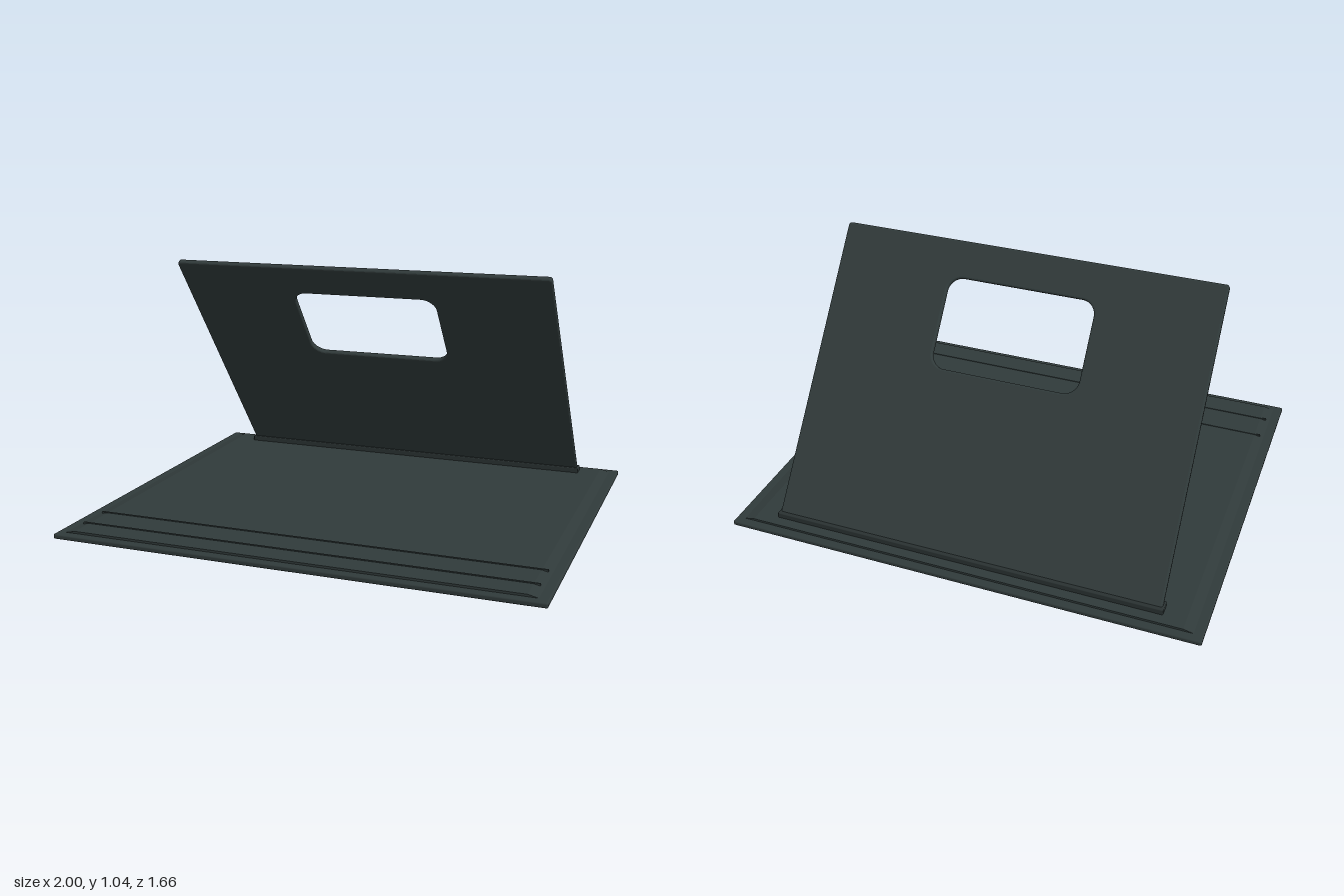
import * as THREE from 'three';
import { RoundedBoxGeometry } from 'three/addons/geometries/RoundedBoxGeometry.js';

const shell = new THREE.MeshStandardMaterial({ name: 'dark slate', color: 0x303a3a });
const trim = new THREE.MeshStandardMaterial({ name: 'deep slate', color: 0x293131 });

function add(parent, name, geometry, material, x = 0, y = 0, z = 0) {
  const mesh = new THREE.Mesh(geometry, material);
  mesh.name = name;
  mesh.position.set(x, y, z);
  parent.add(mesh);
  return mesh;
}

// Rounded rectangle traced into a Shape or Path
function roundedRect(path, x0, y0, x1, y1, r) {
  path.moveTo(x0 + r, y0);
  path.lineTo(x1 - r, y0);
  path.absarc(x1 - r, y0 + r, r, -Math.PI / 2, 0);
  path.lineTo(x1, y1 - r);
  path.absarc(x1 - r, y1 - r, r, 0, Math.PI / 2);
  path.lineTo(x0 + r, y1);
  path.absarc(x0 + r, y1 - r, r, Math.PI / 2, Math.PI);
  path.lineTo(x0, y0 + r);
  path.absarc(x0 + r, y0 + r, r, Math.PI, Math.PI * 1.5);
  return path;
}

export function createModel() {
  const group = new THREE.Group();
  group.name = 'foldingStand';

  // Base slab
  add(group, 'baseSlab', new RoundedBoxGeometry(2, 0.021, 1.66, 3, 0.007), shell, 0, 0.0105, 0);

  // Raised deck with sloping left and right edges
  const deck = new THREE.Shape([
    new THREE.Vector2(-0.975, 0.018), new THREE.Vector2(0.975, 0.018),
    new THREE.Vector2(0.92, 0.03), new THREE.Vector2(-0.92, 0.03),
  ]);
  const deckGeometry = new THREE.ExtrudeGeometry(deck, { depth: 1.59, bevelEnabled: false });
  deckGeometry.translate(0, 0, -0.795);
  add(group, 'raisedDeck', deckGeometry, shell);

  // Two thin stop ridges near the front
  for (const z of [0.55, 0.69]) {
    add(group, 'stopRidge', new THREE.BoxGeometry(1.89, 0.012, 0.008), shell, 0, 0.027, z);
  }

  // Hinge bar at the back
  add(group, 'hingeBar', new RoundedBoxGeometry(1.66, 0.028, 0.056, 2, 0.005), trim, 0, 0.039, -0.722);

  // Leaning panel with a rounded window
  const outline = roundedRect(new THREE.Shape(), -0.815, 0, 0.815, 1.25, 0.006);
  outline.holes.push(roundedRect(new THREE.Path(), -0.326, 0.711, 0.326, 1.111, 0.07));
  const panelGeometry = new THREE.ExtrudeGeometry(outline, {
    depth: 0.011, bevelSize: 0.008, bevelThickness: 0.007, bevelSegments: 3, curveSegments: 8,
  });
  panelGeometry.translate(0, 0, -0.0055);
  const panel = add(group, 'leaningPanel', panelGeometry, shell, 0, 0.045, -0.725);
  panel.rotation.x = Math.atan2(0.616, 0.788);

  return group;
}
